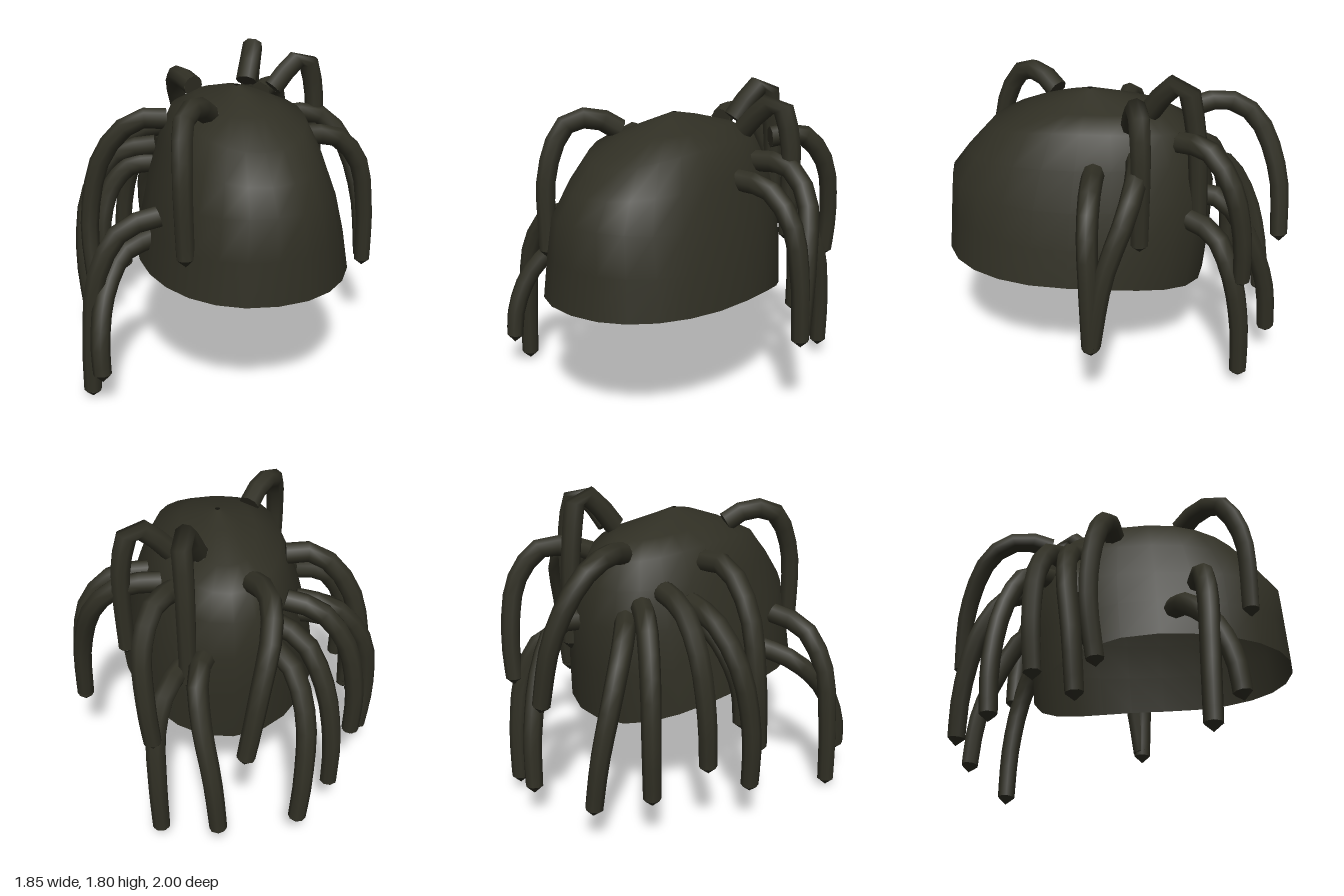
import * as THREE from 'three';
import { mergeGeometries } from 'three/addons/utils/BufferGeometryUtils.js';

const V = (p) => new THREE.Vector3(...p);

// Domed shell, open underneath: [yFront, zFront, yBack, zBack, halfWidth, ySide, zMiddle]
const RINGS = [
  [0.68, 1.0, 0.52, -0.51, 0.585, 0.68, 0.24],
  [0.92, 0.98, 0.82, -0.54, 0.55, 0.9, 0.23],
  [1.15, 0.96, 1.1, -0.55, 0.5, 1.1, 0.22],
  [1.28, 0.86, 1.3, -0.5, 0.43, 1.32, 0.2],
  [1.42, 0.73, 1.44, -0.43, 0.35, 1.5, 0.18],
  [1.54, 0.5, 1.53, -0.3, 0.21, 1.555, 0.17],
  [1.61, 0.3, 1.6, -0.04, 0.1, 1.6, 0.16],
  [1.638, 0.17, 1.638, 0.14, 0.014, 1.638, 0.155],
];

function shellGeometry(sides = 24) {
  const pos = [], index = [];
  for (const [yF, zF, yB, zB, w, yS, zM] of RINGS) {
    for (let i = 0; i < sides; i++) {
      const a = (i / sides) * Math.PI * 2;
      const c = Math.cos(a), s = Math.sin(a);
      const front = c > 0;
      const x = 0.035 + w * Math.sign(s) * Math.abs(s) ** 0.92;
      const y = yS + c * c * ((front ? yF : yB) - yS);
      const z = zM + Math.abs(c) ** 0.95 * ((front ? zF : zB) - zM);
      pos.push(x, y, z);
    }
  }
  for (let r = 0; r < RINGS.length - 1; r++) {
    for (let i = 0; i < sides; i++) {
      const j = (i + 1) % sides;
      const a = r * sides + i, b = r * sides + j;
      index.push(a, b, b + sides, a, b + sides, a + sides);
    }
  }
  const g = new THREE.BufferGeometry();
  g.setAttribute('position', new THREE.Float32BufferAttribute(pos, 3));
  g.setIndex(index);
  g.computeVertexNormals();
  return g;
}

// Drooping strand: a bent, slightly tapering tube with a flat root and a short pointed tip
function strandGeometry(points, rootRadius = 0.062, tipRadius = 0.05) {
  const steps = 10, sides = 8, tipLength = 0.045;
  const pts = points.map(V);
  const curve = new THREE.CatmullRomCurve3(pts);
  const end = curve.getTangent(1);
  const tube = new THREE.TubeGeometry(curve, steps, rootRadius, sides);

  // taper each ring; the last one stops where the cone begins
  const p = tube.attributes.position, v = new THREE.Vector3();
  for (let i = 0; i < p.count; i++) {
    const t = Math.floor(i / (sides + 1)) / steps;
    const centre = curve.getPointAt(t);
    v.fromBufferAttribute(p, i).sub(centre);
    v.multiplyScalar(1 + t * (tipRadius / rootRadius - 1)).add(centre);
    if (t === 1) v.addScaledVector(end, -tipLength);
    p.setXYZ(i, v.x, v.y, v.z);
  }

  const place = (g, dir, at) => {
    const q = new THREE.Quaternion().setFromUnitVectors(new THREE.Vector3(0, 1, 0), dir);
    return g.applyQuaternion(q).translate(at.x, at.y, at.z);
  };
  const tip = new THREE.ConeGeometry(tipRadius, tipLength, sides, 1, true).translate(0, -tipLength / 2, 0);
  place(tip, end, pts[pts.length - 1]);
  const root = new THREE.CircleGeometry(rootRadius, sides).rotateX(-Math.PI / 2);
  place(root, curve.getTangent(0).negate(), pts[0]);
  return mergeGeometries([tube, tip, root]);
}

const STRANDS = {
  crownStrand: [[0.19, 1.57, -0.19], [0.25, 1.72, -0.29], [0.285, 1.77, -0.37], [0.285, 1.5, -0.44], [0.28, 0.88, -0.475]],
  leftUpperStrand: [[0.33, 1.54, -0.1], [0.44, 1.66, -0.12], [0.53, 1.71, -0.14], [0.6, 1.52, -0.16], [0.6, 0.92, -0.16]],
  leftSideStrand: [[0.44, 1.3, 0.1], [0.65, 1.28, 0.1], [0.8, 1.12, 0.1], [0.86, 0.82, 0.09], [0.87, 0.42, 0.08]],
  leftSweptStrand: [[0.39, 1.36, -0.13], [0.6, 1.36, -0.14], [0.76, 1.22, -0.1], [0.85, 0.9, 0.01], [0.87, 0.45, 0.08]],
  leftBackUpperStrand: [[0.33, 1.45, -0.36], [0.45, 1.46, -0.51], [0.53, 1.29, -0.64], [0.53, 0.98, -0.71], [0.5, 0.67, -0.72]],
  leftBackLowerStrand: [[0.31, 0.98, -0.42], [0.41, 0.94, -0.56], [0.48, 0.74, -0.66], [0.49, 0.42, -0.72], [0.48, 0.05, -0.735]],
  backUpperStrand: [[-0.08, 1.5, -0.42], [-0.13, 1.53, -0.6], [-0.12, 1.44, -0.78], [-0.04, 1.14, -0.92], [0.04, 0.71, -0.955]],
  backLeftStrand: [[0.18, 1.08, -0.47], [0.24, 1.07, -0.61], [0.245, 0.86, -0.75], [0.2, 0.52, -0.87], [0.17, 0.16, -0.905]],
  backRightStrand: [[-0.13, 1.15, -0.45], [-0.26, 1.08, -0.62], [-0.32, 0.84, -0.77], [-0.305, 0.5, -0.86], [-0.27, 0.17, -0.885]],
  rightBackStrand: [[-0.2, 1.22, -0.4], [-0.34, 1.17, -0.52], [-0.45, 0.93, -0.62], [-0.5, 0.58, -0.67], [-0.5, 0.22, -0.665]],
  rightRearStrand: [[-0.28, 1.3, -0.31], [-0.46, 1.25, -0.37], [-0.61, 1.05, -0.42], [-0.68, 0.72, -0.43], [-0.68, 0.375, -0.41]],
  rightSideStrand: [[-0.36, 1.22, -0.18], [-0.58, 1.17, -0.24], [-0.75, 0.95, -0.24], [-0.81, 0.58, -0.2], [-0.79, 0.21, -0.175]],
  rightInnerStrand: [[-0.38, 1.12, -0.16], [-0.52, 1.1, -0.19], [-0.64, 0.97, -0.19], [-0.7, 0.78, -0.16], [-0.7, 0.55, -0.14]],
  rightUpperStrand: [[-0.33, 1.42, -0.02], [-0.5, 1.42, -0.04], [-0.69, 1.22, -0.09], [-0.78, 0.82, -0.12], [-0.77, 0.4, -0.075]],
  rightFrontUpperStrand: [[-0.48, 1.02, 0.46], [-0.68, 0.97, 0.48], [-0.82, 0.75, 0.5], [-0.87, 0.38, 0.5], [-0.88, 0, 0.5]],
  rightFrontLowerStrand: [[-0.48, 0.85, 0.32], [-0.66, 0.8, 0.38], [-0.79, 0.63, 0.52], [-0.84, 0.4, 0.62], [-0.84, 0.17, 0.655]],
  foreheadStrand: [[-0.18, 1.54, 0.37], [-0.26, 1.61, 0.47], [-0.36, 1.59, 0.6], [-0.4, 1.36, 0.72], [-0.395, 0.84, 0.75]],
};

export function createModel() {
  const group = new THREE.Group();
  const darkOlive = new THREE.MeshStandardMaterial({ color: 0x302f24, side: THREE.DoubleSide });
  darkOlive.name = 'darkOlive';

  const add = (name, geometry) => {
    const mesh = new THREE.Mesh(geometry, darkOlive);
    mesh.name = name;
    group.add(mesh);
  };

  add('domedShell', shellGeometry());
  for (const [name, points] of Object.entries(STRANDS)) add(name, strandGeometry(points));
  return group;
}
